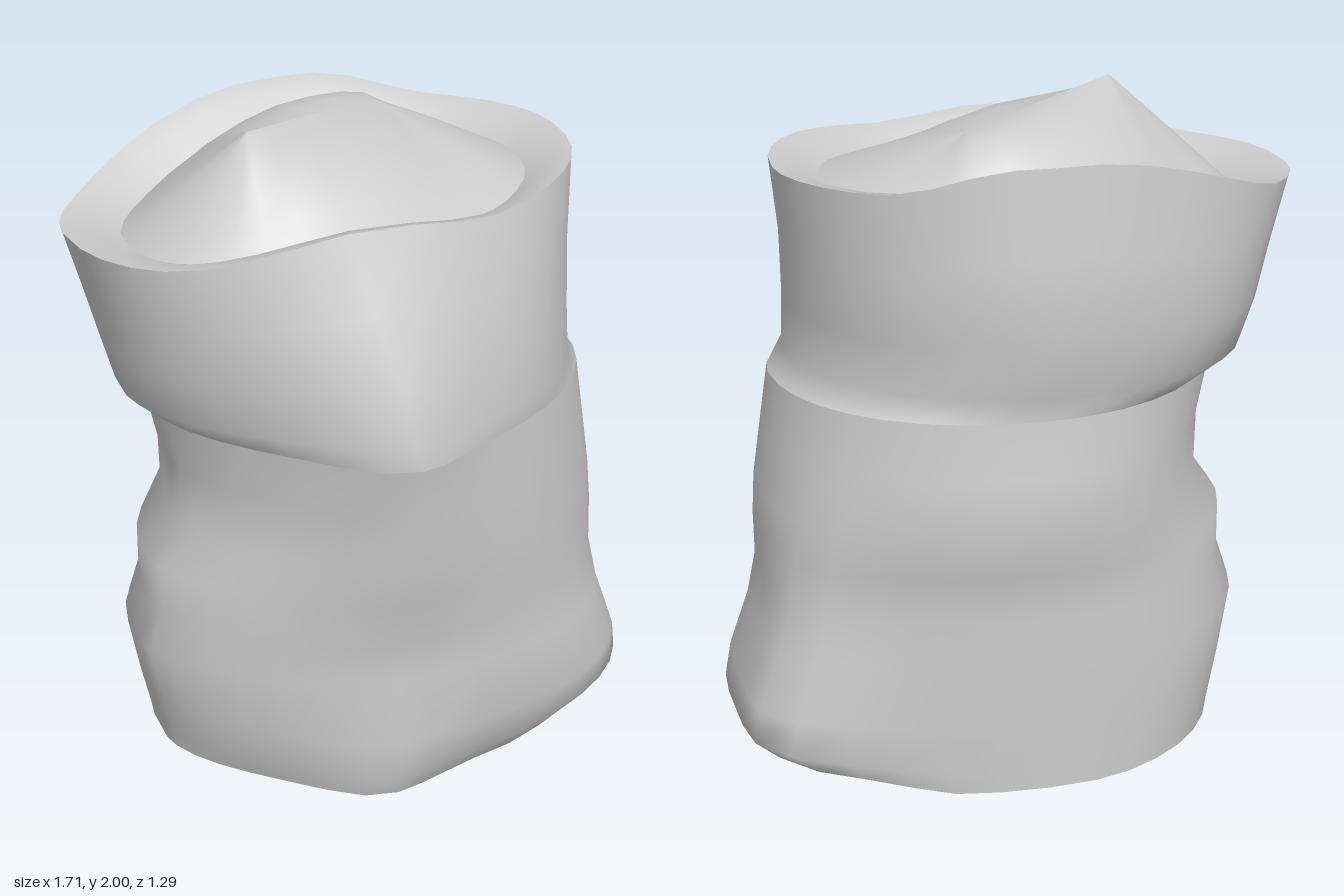
import * as THREE from 'three';

const SEG = 36;
const { lerp, clamp, smoothstep } = THREE.MathUtils;
const material = new THREE.MeshStandardMaterial({ color: 0xcccccc, side: THREE.DoubleSide });

// Closed loops of points, stacked from bottom to top, skinned with smooth normals.
function loft(name, loops) {
  const positions = loops.flat().flatMap((p) => [p.x, p.y, p.z]);
  const index = [];
  for (let i = 0; i < loops.length - 1; i++) {
    for (let j = 0; j < SEG; j++) {
      const k = (j + 1) % SEG;
      const a = i * SEG + j, b = i * SEG + k, c = a + SEG, d = b + SEG;
      index.push(a, c, b, b, c, d);
    }
  }
  const geometry = new THREE.BufferGeometry();
  geometry.setAttribute('position', new THREE.Float32BufferAttribute(positions, 3));
  geometry.setIndex(index);
  geometry.computeVertexNormals();
  const mesh = new THREE.Mesh(geometry, material);
  mesh.name = name;
  return mesh;
}

// Lopsided oval from its left, right, back and front limits. Each quarter has its own
// squareness (front +x, front -x, back -x, back +x); bump pushes out a fold in the front.
function oval([y, left, right, back, front, bump = 0, zMid = 0], powers) {
  return Array.from({ length: SEG }, (_, j) => {
    const a = (j / SEG) * Math.PI * 2;
    const c = Math.cos(a), s = Math.sin(a);
    const exponent = 2 / powers[Math.floor((j * 4) / SEG)];
    const x = Math.sign(c) * Math.abs(c) ** exponent * (c > 0 ? right : -left);
    const reach = Math.sign(s) * Math.abs(s) ** exponent;
    let z = zMid + reach * (s > 0 ? front - zMid : zMid - back);
    if (s > 0) z += bump * s * Math.exp(-(((x + 0.14) / 0.22) ** 2));
    return new THREE.Vector3(x, y, z);
  });
}

// Ovals whose squareness blends from the low set to the high set between two heights.
function stack(rings, low, high, y0, y1) {
  return rings.map((ring) => {
    const t = smoothstep(ring[0], y0, y1);
    return oval(ring, low.map((p, i) => lerp(p, high[i], t)));
  });
}

// A blunt corner pulled out of the lower back on the +x side.
function pullCorner(loop) {
  const fade = 1 - smoothstep(loop[0].y, 0.2, 1.1);
  for (const p of loop) {
    const angle = Math.atan2(p.z, p.x) + 0.47;
    const pull = 1 + 0.14 * fade * Math.exp(-((angle / 0.23) ** 2));
    p.x *= pull;
    p.z *= pull;
  }
  return loop;
}

// The underside curls up toward both sides.
function curlUp(loop) {
  for (const p of loop) {
    const fade = Math.max(0, 1 - p.y / 0.35);
    const lift = p.x > 0 ? 0.08 * Math.max(0, (p.x - 0.3) / 0.47) : 0.04 * Math.max(0, (-p.x - 0.2) / 0.44);
    p.y += lift * fade;
  }
  return loop;
}

// The mouth sags on one side, dips in front and rises at the back.
function sag(loop) {
  for (const p of loop) {
    const weight = clamp((p.y - 1.24) / 0.59, 0, 1);
    const drop = 0.1 * smoothstep(-p.x, 0.1, 0.75);
    const rise = 0.08 * smoothstep(-p.z, 0.3, 0.6) * (1 - smoothstep(p.x, 0.1, 0.5));
    const dip = 0.035 * smoothstep(p.z, 0.05, 0.3) * Math.exp(-(((p.x - 0.25) / 0.22) ** 2));
    p.y += (rise - drop - dip) * weight;
  }
  return loop;
}

export function createModel() {
  const sack = new THREE.Group();
  sack.name = 'sack';

  // Slumped lower body: y, left, right, back, front, front fold
  const bodyRings = [
    [0, -0.64, 0.77, -0.6, 0.43, 0.09],
    [0.06, -0.65, 0.85, -0.6, 0.47, 0.07],
    [0.2, -0.68, 0.83, -0.6, 0.53, 0.03],
    [0.41, -0.72, 0.775, -0.6, 0.53, 0],
    [0.55, -0.675, 0.75, -0.6, 0.54, 0.01],
    [0.69, -0.68, 0.755, -0.6, 0.56, 0.02],
    [0.82, -0.59, 0.75, -0.65, 0.57, 0.04],
    [1.0, -0.6, 0.725, -0.62, 0.57, 0.06],
    [1.17, -0.64, 0.7, -0.6, 0.56, 0.1],
  ];
  const body = stack(bodyRings, [2.6, 1.7, 2.4, 2.1], [1.8, 1.6, 2, 2.1], 0, 0.95)
    .map(pullCorner).map(curlUp);
  sack.add(loft('body', body));

  // Underside, closed toward the middle
  sack.add(loft('bottom', [0, 0.5, 1].map((t) =>
    body[0].map((p) => new THREE.Vector3(p.x * t, lerp(0.015, p.y, t), p.z * t)))));

  // Cuff around the mouth, growing from the top of the body and overhanging it on one side
  const cuffRings = [
    [1.235, -0.72, 0.65, -0.6, 0.55, 0.1, -0.02],
    [1.4, -0.755, 0.65, -0.655, 0.53, 0.08, -0.05],
    [1.6, -0.8, 0.66, -0.63, 0.48, 0.03, -0.09],
    [1.83, -0.855, 0.69, -0.6, 0.41, 0, -0.12],
  ];
  const rimPowers = [2.3, 2.4, 1.95, 1.9];
  const cuff = stack(cuffRings, [2.1, 1.7, 2.3, 1.85], rimPowers, 1.24, 1.83).map(sag);
  sack.add(loft('cuff', [body[body.length - 1], ...cuff]));

  // Lip rolling inward from the rim
  const lipRings = [
    cuffRings[3],
    [1.815, -0.77, 0.62, -0.545, 0.36, 0, -0.11],
    [1.77, -0.68, 0.545, -0.49, 0.305, 0, -0.1],
  ];
  const lip = lipRings.map((r) => sag(oval(r, rimPowers)));
  sack.add(loft('innerLip', lip));

  // Heaped contents, rising from the lip to a sloping ridge
  const ridgeStart = new THREE.Vector3(-0.34, 2, 0);
  const ridgeEnd = new THREE.Vector3(0.16, 1.935, -0.26);
  sack.add(loft('contents', [0, 0.2, 0.4, 0.6, 0.8, 1].map((t) => lip[2].map((p) => {
    const along = clamp((p.x + 0.34) / 0.5, 0, 1);
    const point = p.clone().lerp(ridgeStart.clone().lerp(ridgeEnd, along), t);
    point.y += 0.055 * Math.exp(-((p.x / 0.35) ** 2)) * Math.sin(Math.PI * t);
    return point;
  }))));

  return sack;
}
